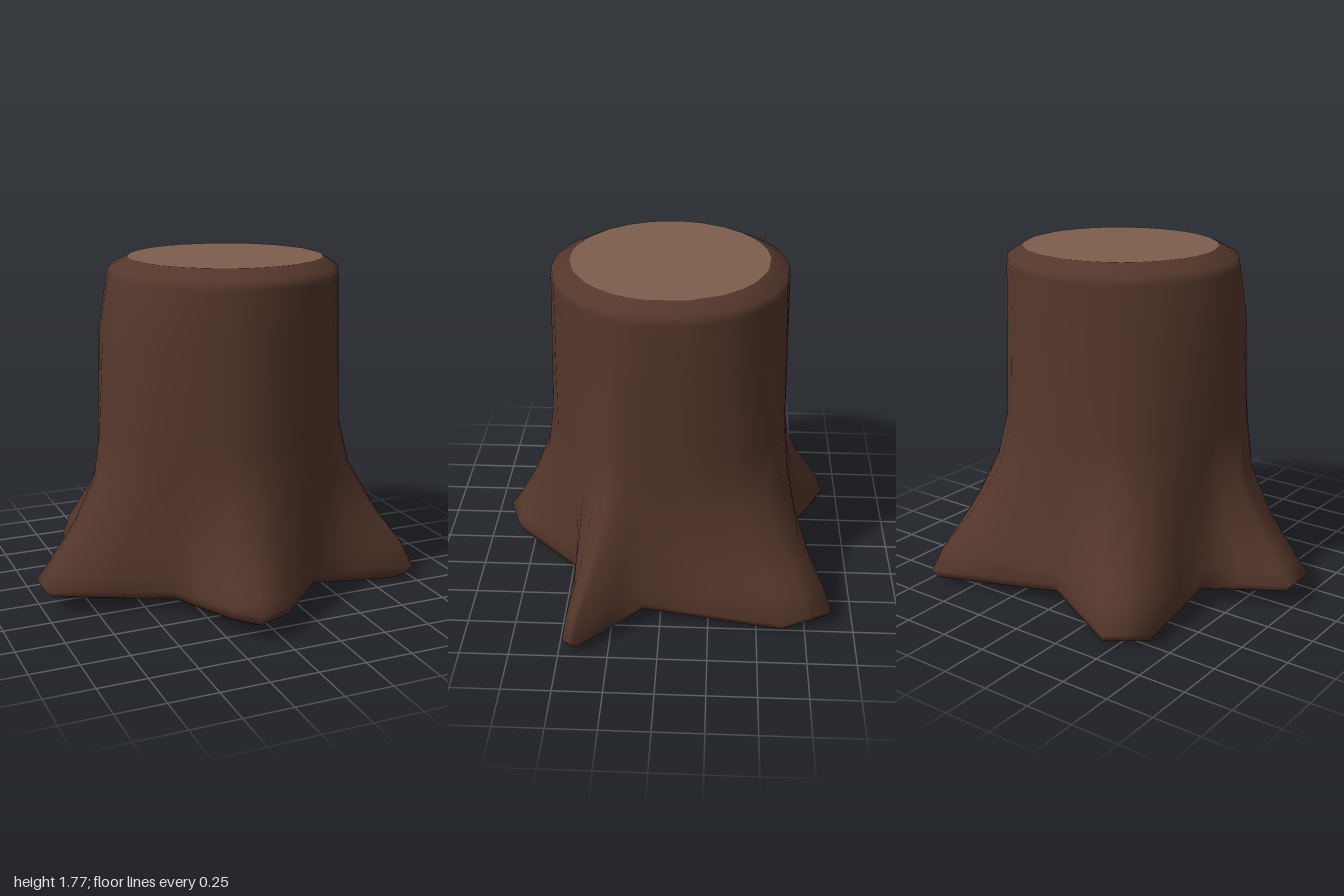
import * as THREE from 'three';

// Roots in order around the trunk: three toe points [x, z], trunk angle,
// toe height, underside height, then the valley that follows and its angle.
const ROOTS = [
  { toe: [[1, 0.42], [0.99, 0.45], [0.97, 0.48]], angle: 26, y: 0.08, low: 0.01, valley: [0.41, 0.45], valleyAngle: 52 },
  { toe: [[0.07, 0.83], [-0.13, 0.9], [-0.23, 0.78]], angle: 98, y: 0.15, low: 0.07, valley: [-0.39, 0.37], valleyAngle: 138 },
  { toe: [[-1, 0.16], [-1, 0.06], [-1, -0.03]], angle: 174, y: 0.13, low: 0.08, valley: [-0.6, -0.22], valleyAngle: 197 },
  { toe: [[-0.65, -0.77], [-0.55, -0.84], [-0.46, -0.91]], angle: 234, y: 0.07, low: 0, valley: [0, -0.7], valleyAngle: 267 },
  { toe: [[0.69, -0.89], [0.75, -0.77], [0.81, -0.64]], angle: 314, y: 0.08, low: 0.015, valley: [0.72, 0.09], valleyAngle: 370 },
];
const VALLEY_Y = 0.12, VALLEY_LOW = 0.05;
const mix = THREE.MathUtils.lerp;

// Columns running up the trunk: toes, flanks and valleys
function makeColumns() {
  const columns = [];
  const add = (p, angle, y, low) => columns.push({ x: p[0], z: p[1], angle: THREE.MathUtils.degToRad(angle), y, low });
  ROOTS.forEach((root, i) => {
    const next = ROOTS[(i + 1) % ROOTS.length];
    const nextAngle = next.angle + (i === ROOTS.length - 1 ? 360 : 0);
    const before = ROOTS[(i + 4) % 5].valleyAngle - (i === 0 ? 360 : 0);
    add(root.toe[0], mix(root.angle, before, 0.25), root.y, root.low);
    add(root.toe[1], root.angle, root.y, root.low);
    add(root.toe[2], mix(root.angle, root.valleyAngle, 0.25), root.y, root.low);
    const flank = (r, toe, angle) => add(
      [mix(toe[0], root.valley[0], 0.55), mix(toe[1], root.valley[1], 0.55)],
      mix(angle, root.valleyAngle, 0.62), mix(r.y, VALLEY_Y, 0.55), mix(r.low, VALLEY_LOW, 0.55));
    flank(root, root.toe[2], root.angle);
    add(root.valley, root.valleyAngle, VALLEY_Y, VALLEY_LOW);
    flank(next, next.toe[0], nextAngle);
  });
  return columns;
}

// Skin between closed rings of equal length
function loft(rings) {
  const n = rings[0].length, index = [];
  for (let i = 0; i < rings.length - 1; i++) {
    for (let j = 0; j < n; j++) {
      const a = i * n + j, b = i * n + (j + 1) % n;
      index.push(a, a + n, b, b, a + n, b + n);
    }
  }
  const geometry = new THREE.BufferGeometry();
  geometry.setAttribute('position', new THREE.Float32BufferAttribute(rings.flat(2), 3));
  geometry.setIndex(index);
  geometry.computeVertexNormals();
  return geometry;
}

export function createModel() {
  const group = new THREE.Group();
  group.name = 'treeStump';
  const columns = makeColumns();
  const add = (name, rings, color) => {
    const mesh = new THREE.Mesh(loft(rings), new THREE.MeshStandardMaterial({ color }));
    mesh.name = name;
    group.add(mesh);
  };

  // Horizontal section: w blends from the round trunk to the root outline
  const section = (y, w, cx, rx, rz) => columns.map(c => [
    mix(cx + rx * Math.cos(c.angle), c.x, w), y,
    mix(-0.025 + rz * Math.sin(c.angle), c.z, w)]);
  const sole = (s, y) => columns.map(c => [c.x * s, y(c), c.z * s]);

  const topRim = section(1.775, 0, 0.07, 0.51, 0.5);

  // Bark with flared roots
  add('barkAndRoots', [
    sole(0.9, c => c.low),
    sole(0.97, c => mix(c.low, c.y, 0.35)),
    sole(1, c => c.y),
    section(0.2, 0.87, 0.04, 0.62, 0.61),
    section(0.31, 0.68, 0.04, 0.62, 0.61),
    section(0.43, 0.48, 0.04, 0.62, 0.61),
    section(0.66, 0.2, 0.03, 0.62, 0.61),
    section(0.9, 0.07, 0.02, 0.63, 0.61),
    section(1.4, 0.02, 0.03, 0.63, 0.605),
    section(1.68, 0, 0.053, 0.606, 0.6),
    section(1.725, 0, 0.058, 0.598, 0.595),
    topRim,
  ], 0x55372b);

  // Underside, rising gently to the middle
  add('underside', [
    sole(0, () => 0.07),
    sole(0.45, c => mix(0.07, c.low, 0.4)),
    sole(0.9, c => c.low),
  ], 0x55372b);

  // Pale cut face
  add('cutTop', [topRim, columns.map(() => [0.07, 1.772, -0.03])], 0x7d5e4d);

  return group;
}
